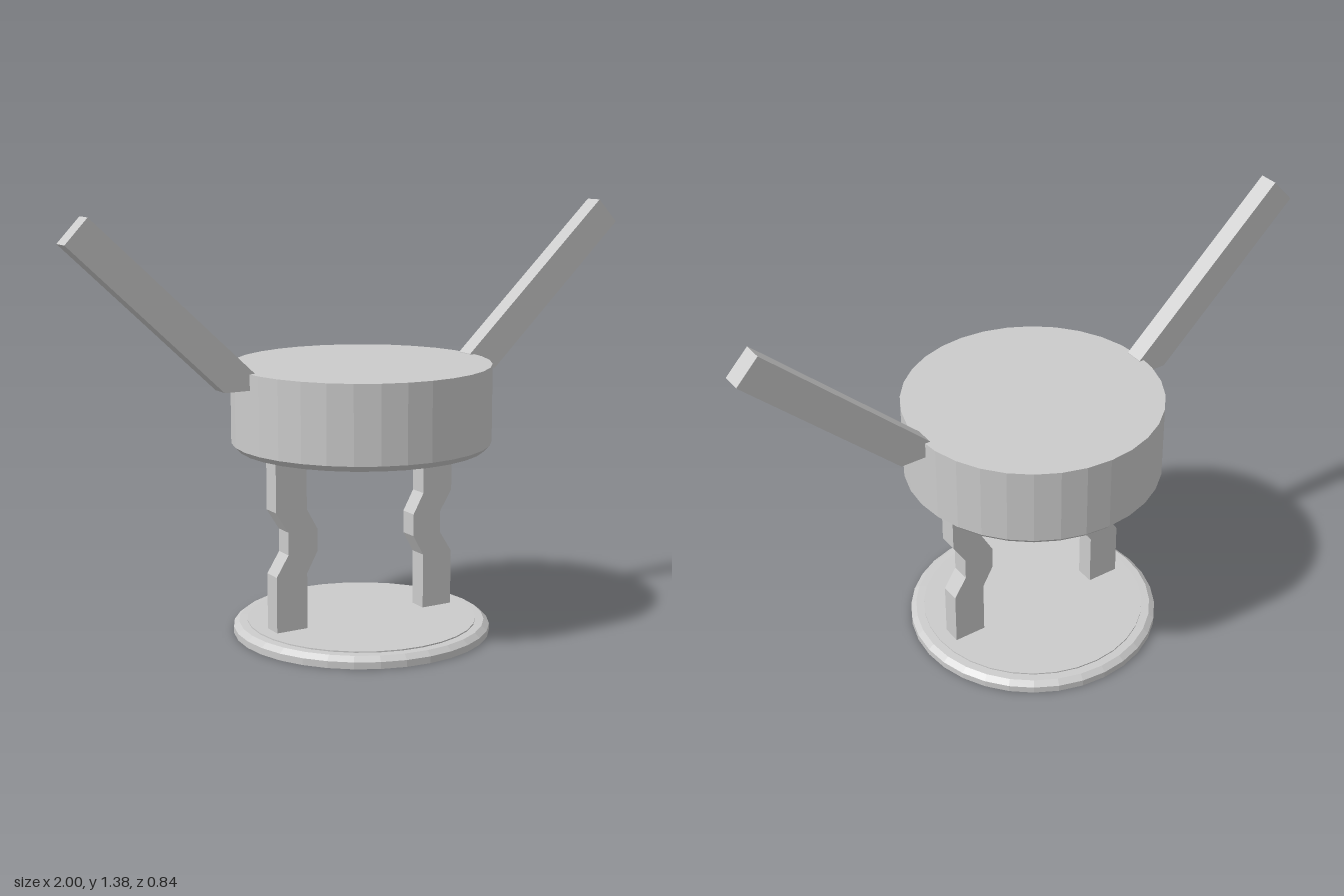
import * as THREE from 'three';

const material = new THREE.MeshStandardMaterial({ color: 0xcccccc, flatShading: true });
const DEPTH = 0.064;

// Faceted round part from a [radius, y] profile, bottom to top
function disc(name, profile) {
  const points = profile.map(([r, y]) => new THREE.Vector2(r, y));
  const mesh = new THREE.Mesh(new THREE.LatheGeometry(points, 32), material);
  mesh.name = name;
  return mesh;
}

// Flat bar cut from an outline in the xy plane; side -1 mirrors it
function bar(name, outline, side) {
  const shape = new THREE.Shape(outline.map(([x, y]) => new THREE.Vector2(side * x, y)));
  const geometry = new THREE.ExtrudeGeometry(shape, { depth: DEPTH, bevelEnabled: false });
  geometry.translate(0, 0, -DEPTH / 2);
  const mesh = new THREE.Mesh(geometry, material);
  mesh.name = name;
  return mesh;
}

export function createModel() {
  const group = new THREE.Group();
  group.name = 'model';

  // Base plate with a chamfered rim and a shallow raised top
  group.add(disc('basePlate', [
    [0, 0], [0.42, 0], [0.42, 0.022], [0.402, 0.037], [0.375, 0.038], [0.375, 0.042], [0, 0.042],
  ]));

  // Drum body, chamfered along its lower edge
  group.add(disc('body', [
    [0, 0.614], [0.402, 0.614], [0.42, 0.633], [0.42, 0.884], [0, 0.884],
  ]));

  // Legs kink inward at the knee
  const leg = [
    [0.22, 0.035], [0.33, 0.035], [0.33, 0.225], [0.287, 0.293], [0.287, 0.367], [0.33, 0.435],
    [0.33, 0.62], [0.22, 0.62], [0.22, 0.435], [0.182, 0.367], [0.182, 0.293], [0.22, 0.225],
  ];
  // Arms rise outward from the rim of the body
  const arm = [[0.40, 0.833], [0.502, 0.833], [1, 1.302], [0.927, 1.379], [0.40, 0.886]];

  for (const [label, side] of [['left', 1], ['right', -1]]) {
    group.add(bar(label + 'Leg', leg, side), bar(label + 'Arm', arm, side));
  }
  return group;
}
